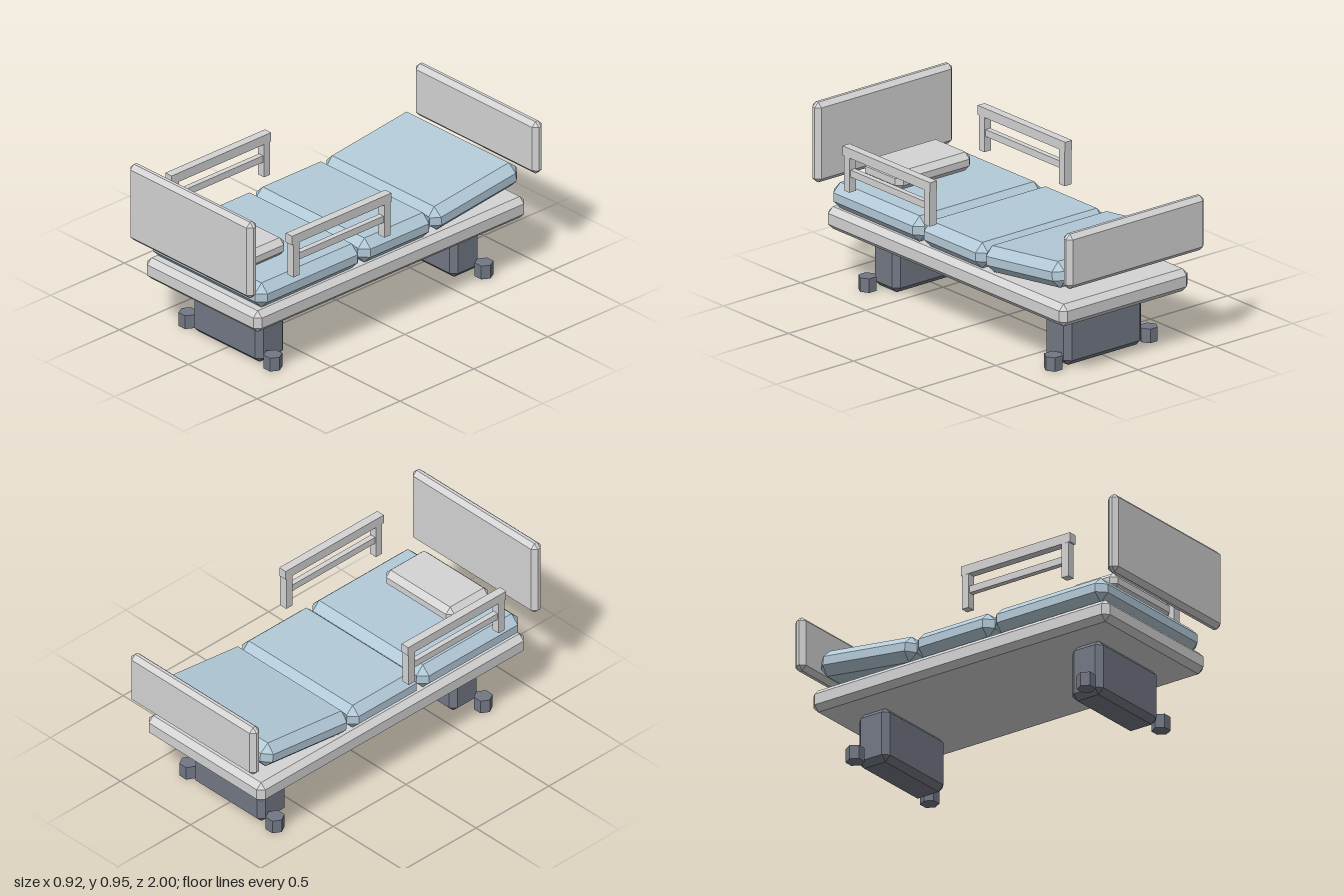
import * as THREE from 'three';
import { ConvexGeometry } from 'three/addons/geometries/ConvexGeometry.js';

// Box with every edge cut at 45 degrees and triangular corners
function chamferBox(w, h, d, c) {
  const points = [];
  for (const x of [-1, 1]) for (const y of [-1, 1]) for (const z of [-1, 1]) {
    for (let face = 0; face < 3; face++) {
      points.push(new THREE.Vector3(
        x * (w / 2 - (face === 0 ? 0 : c)),
        y * (h / 2 - (face === 1 ? 0 : c)),
        z * (d / 2 - (face === 2 ? 0 : c))));
    }
  }
  return new ConvexGeometry(points);
}

export function createModel() {
  const material = (name, color) => {
    const m = new THREE.MeshStandardMaterial({ color, flatShading: true });
    m.name = name;
    return m;
  };
  const lightGrey = material('light grey', 0xd4d4d4);
  const paleBlue = material('pale blue', 0xb3cad8);
  const slate = material('slate', 0x737884);

  const bed = new THREE.Group();
  bed.name = 'adjustableBed';
  const add = (name, geometry, mat, x, y, z, parent = bed) => {
    const mesh = new THREE.Mesh(geometry, mat);
    mesh.name = name;
    mesh.position.set(x, y, z);
    parent.add(mesh);
    return mesh;
  };

  // Deck and end panels
  add('deck', chamferBox(0.83, 0.118, 1.835, 0.03), lightGrey, 0, 0.35, 0.002);
  add('headboard', chamferBox(0.89, 0.425, 0.065, 0.024), lightGrey, 0, 0.737, 0.967);
  add('footboard', chamferBox(0.89, 0.29, 0.065, 0.024), lightGrey, 0, 0.67, -0.967);

  // Mattress in three sections, the foot end raised
  add('mattressHead', chamferBox(0.83, 0.136, 0.7, 0.045), paleBlue, 0, 0.477, 0.545);
  add('mattressMiddle', chamferBox(0.83, 0.136, 0.485, 0.045), paleBlue, 0, 0.477, -0.045);
  const foot = add('mattressFoot', chamferBox(0.83, 0.136, 0.6, 0.045), paleBlue, 0, 0.515, -0.58);
  foot.rotation.x = 0.125;
  add('pillow', chamferBox(0.485, 0.096, 0.29, 0.03), lightGrey, 0, 0.593, 0.695);

  // Pedestals, each with a pair of hexagonal feet
  const footGeometry = new THREE.CylinderGeometry(0.048, 0.048, 0.074, 6);
  footGeometry.rotateY(Math.PI / 2);
  for (const end of [1, -1]) {
    add('pedestal', chamferBox(0.5, 0.292, 0.19, 0.03), slate, 0, 0.146, end * 0.659);
    for (const side of [1, -1]) add('caster', footGeometry, slate, side * 0.308, 0.037, end * 0.715);
  }

  // Side rails
  for (const side of [1, -1]) {
    const rail = new THREE.Group();
    rail.name = side > 0 ? 'leftRail' : 'rightRail';
    rail.position.x = side * 0.437;
    bed.add(rail);
    add('topBar', new THREE.BoxGeometry(0.046, 0.05, 0.674), lightGrey, 0, 0.771, 0.39, rail);
    add('lowerBar', new THREE.BoxGeometry(0.03, 0.037, 0.6), lightGrey, 0, 0.662, 0.39, rail);
    for (const z of [0.696, 0.079]) {
      add('post', new THREE.BoxGeometry(0.044, 0.19, 0.042), lightGrey, 0, 0.657, z, rail);
    }
  }
  return bed;
}
